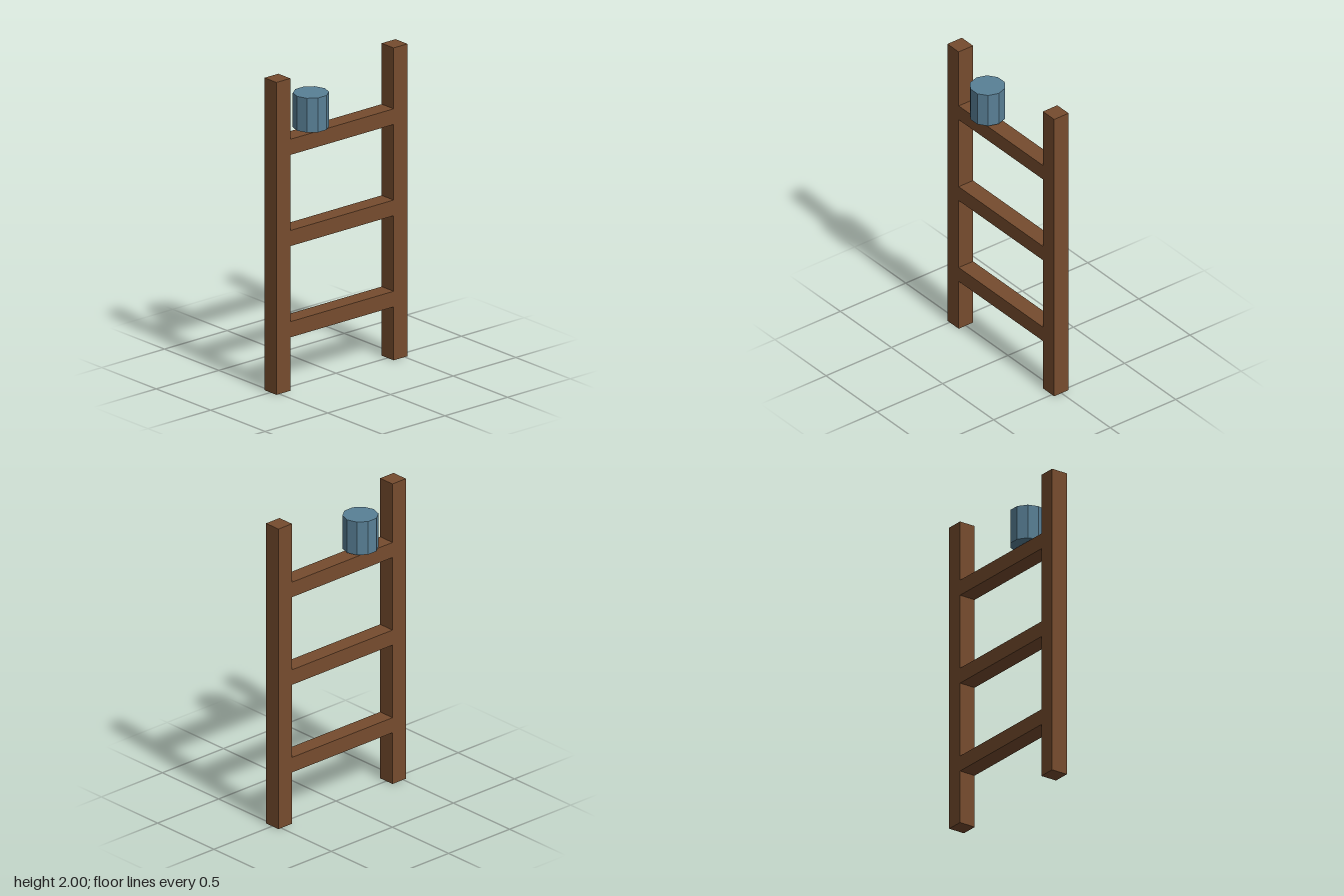
import * as THREE from 'three';

export function createModel() {
  const model = new THREE.Group();
  model.name = 'ladder';

  const wood = new THREE.MeshStandardMaterial({ color: 0x764c2e });
  wood.name = 'brown wood';
  const paint = new THREE.MeshStandardMaterial({ color: 0x598096, flatShading: true });
  paint.name = 'blue grey';

  const add = (name, geometry, material, x, y, z) => {
    const mesh = new THREE.Mesh(geometry, material);
    mesh.name = name;
    mesh.position.set(x, y, z);
    model.add(mesh);
  };

  // Two upright rails
  const thick = 0.11;
  const railZ = 0.467;
  const railGeometry = new THREE.BoxGeometry(thick, 2, thick);
  add('frontRail', railGeometry, wood, 0, 1, railZ);
  add('backRail', railGeometry, wood, 0, 1, -railZ);

  // Three rungs spanning between the rails
  const rungGeometry = new THREE.BoxGeometry(thick, 0.1, 2 * railZ - thick);
  ['lowerRung', 'middleRung', 'upperRung'].forEach((name, i) => {
    add(name, rungGeometry, wood, 0, 0.392 + i * 0.584, 0);
  });

  // Ten-sided can just above the upper rung
  add('can', new THREE.CylinderGeometry(0.11, 0.11, 0.22, 10), paint, 0, 1.736, 0.2);

  return model;
}
